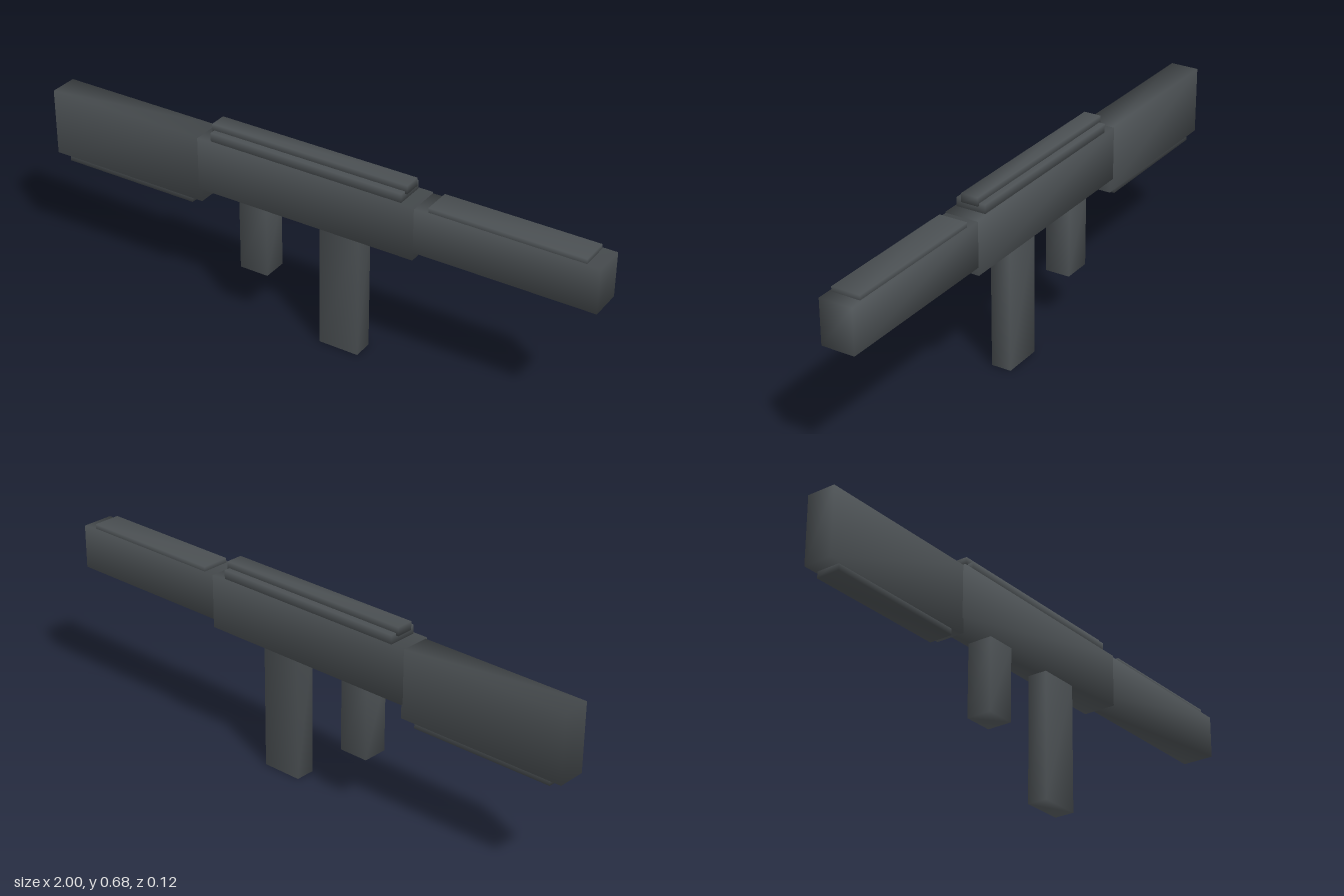
import * as THREE from 'three';
import { mergeVertices } from 'three/addons/utils/BufferGeometryUtils.js';

// Box with shared corners, so the shading runs smoothly around its edges
function softBox(w, h, d) {
  const box = new THREE.BoxGeometry(w, h, d);
  box.deleteAttribute('normal');
  box.deleteAttribute('uv');
  const geometry = mergeVertices(box);
  geometry.computeVertexNormals();
  return geometry;
}

export function createModel() {
  const model = new THREE.Group();
  const gunmetal = new THREE.MeshStandardMaterial({ color: 0x4b5053 });
  gunmetal.name = 'gunmetal';

  // Every block is given by its x range, y range and half depth
  function block(name, x0, x1, y0, y1, halfDepth) {
    const mesh = new THREE.Mesh(softBox(x1 - x0, y1 - y0, halfDepth * 2), gunmetal);
    mesh.name = name;
    mesh.position.set((x0 + x1) / 2, (y0 + y1) / 2, 0);
    model.add(mesh);
  }

  // Rear stock with its lower pad
  block('stock', -1, -0.405, 0.392, 0.625, 0.05);
  block('stockPad', -0.955, -0.45, 0.37, 0.405, 0.041);

  // Central body with a two-step top rail
  block('body', -0.41, 0.385, 0.442, 0.626, 0.058);
  block('railBase', -0.362, 0.337, 0.62, 0.656, 0.051);
  block('railTop', -0.37, 0.345, 0.648, 0.677, 0.03);

  // Forward section with its thin cover
  block('barrel', 0.38, 1, 0.47, 0.622, 0.057);
  block('barrelCover', 0.43, 0.953, 0.61, 0.638, 0.049);

  // Posts under the body
  block('magazine', -0.262, -0.158, 0.188, 0.45, 0.044);
  block('grip', 0.036, 0.18, 0, 0.45, 0.035);

  return model;
}
